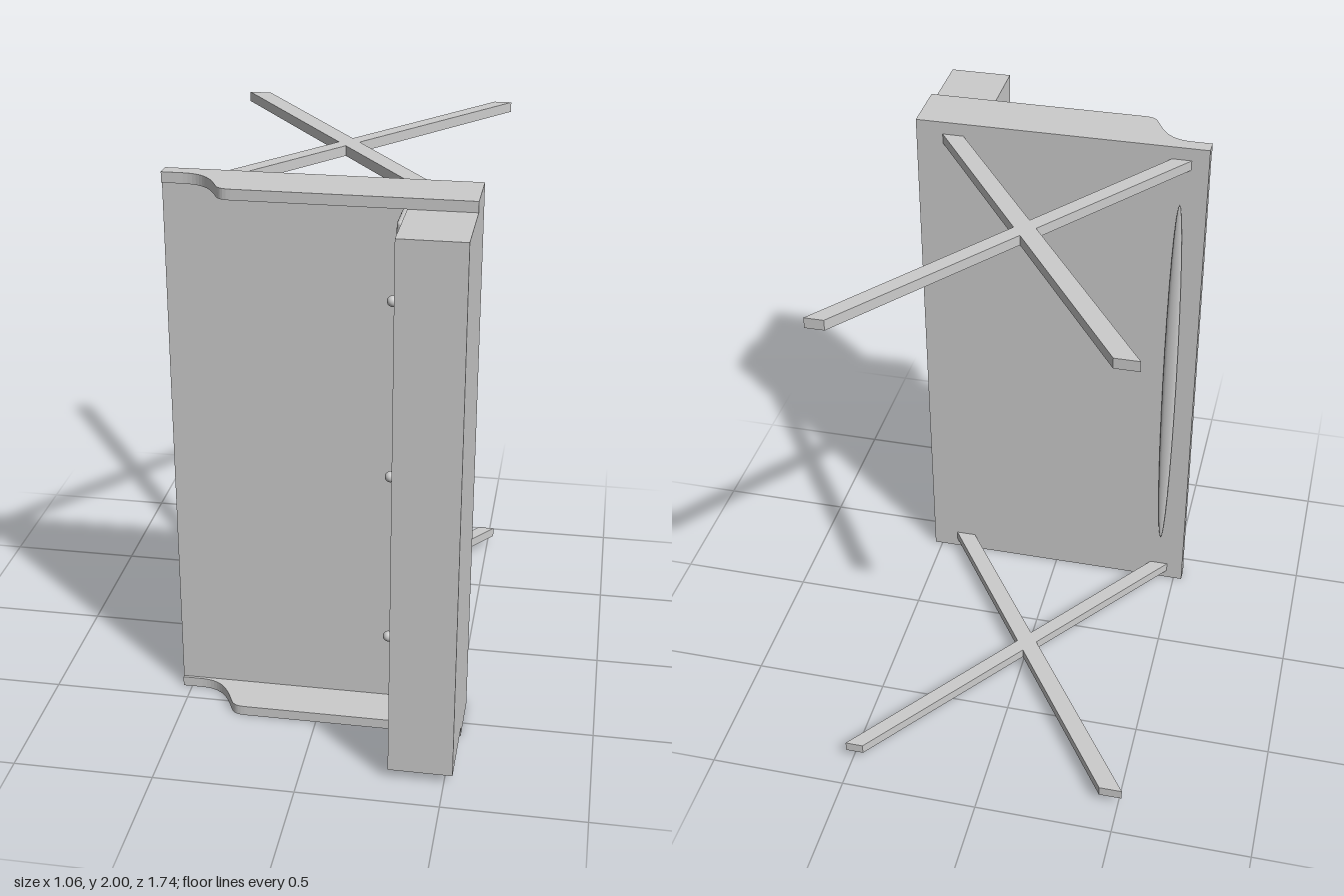
import * as THREE from 'three';
import { RoundedBoxGeometry } from 'three/addons/geometries/RoundedBoxGeometry.js';

export function createModel() {
  const model = new THREE.Group();
  const grey = new THREE.MeshStandardMaterial({ color: 0xcccccc });

  const add = (name, geometry, x = 0, y = 0, z = 0) => {
    const mesh = new THREE.Mesh(geometry, grey);
    mesh.name = name;
    mesh.position.set(x, y, z);
    model.add(mesh);
    return mesh;
  };
  // Box given by its limits on each axis
  const box = (name, x0, x1, y0, y1, z0, z1) =>
    add(name, new THREE.BoxGeometry(x1 - x0, y1 - y0, z1 - z0),
      (x0 + x1) / 2, (y0 + y1) / 2, (z0 + z1) / 2);
  // Outline in x and z, extruded downwards from the height "top"
  const slab = (name, shape, top, depth) => {
    const geometry = new THREE.ExtrudeGeometry(shape, { depth, bevelEnabled: false, curveSegments: 10 });
    geometry.rotateX(Math.PI / 2);
    return add(name, geometry, 0, top, 0);
  };

  // Main board and the two-part cabinet
  box('board', -0.533, 0.53, 0.037, 1.963, 0.372, 0.416);
  box('drawerCase', 0.305, 0.53, 0.037, 1.963, 0.416, 0.672);
  box('cabinet', 0.305, 0.53, 0.037, 1.963, 0.672, 0.872);

  // End panels with an S-curved corner
  const panel = new THREE.Shape();
  panel.moveTo(-0.533, 0.372);
  panel.lineTo(0.53, 0.372);
  panel.lineTo(0.53, 0.58);
  panel.lineTo(-0.265, 0.58);
  panel.bezierCurveTo(-0.32, 0.58, -0.315, 0.55, -0.344, 0.5);
  panel.bezierCurveTo(-0.37, 0.455, -0.4, 0.427, -0.46, 0.426);
  panel.lineTo(-0.533, 0.426);
  panel.closePath();
  slab('upperEndPanel', panel, 2, 0.037);
  slab('lowerEndPanel', panel, 0.037, 0.037);

  // Drawer fronts with round knobs
  for (const y of [0.367, 1.0, 1.637]) {
    add('drawerFront', new RoundedBoxGeometry(0.045, 0.617, 0.225, 3, 0.012), 0.303, y, 0.543);
    add('knob', new THREE.SphereGeometry(0.019, 16, 12), 0.257, y, 0.54);
    const stem = add('knobStem', new THREE.CylinderGeometry(0.008, 0.008, 0.03, 12), 0.275, y, 0.54);
    stem.rotation.z = Math.PI / 2;
  }

  // Crossed legs, ends cut parallel to the board
  const legs = [[0.355, 0.432, -0.43, -0.513], [-0.47, -0.4, 0.525, 0.46]];
  for (const top of [1.953, 0.072]) {
    for (const [a, b, c, d] of legs) {
      const outline = new THREE.Shape([
        new THREE.Vector2(a, 0.372), new THREE.Vector2(b, 0.372),
        new THREE.Vector2(Math.max(c, d), -0.872), new THREE.Vector2(Math.min(c, d), -0.872),
      ]);
      slab('leg', outline, top, 0.037);
    }
  }

  // Slim spindle along the back of the board
  const spindle = add('spindle', new THREE.SphereGeometry(1, 12, 16), -0.438, 1, 0.361);
  spindle.scale.set(0.026, 0.78, 0.011);

  return model;
}
